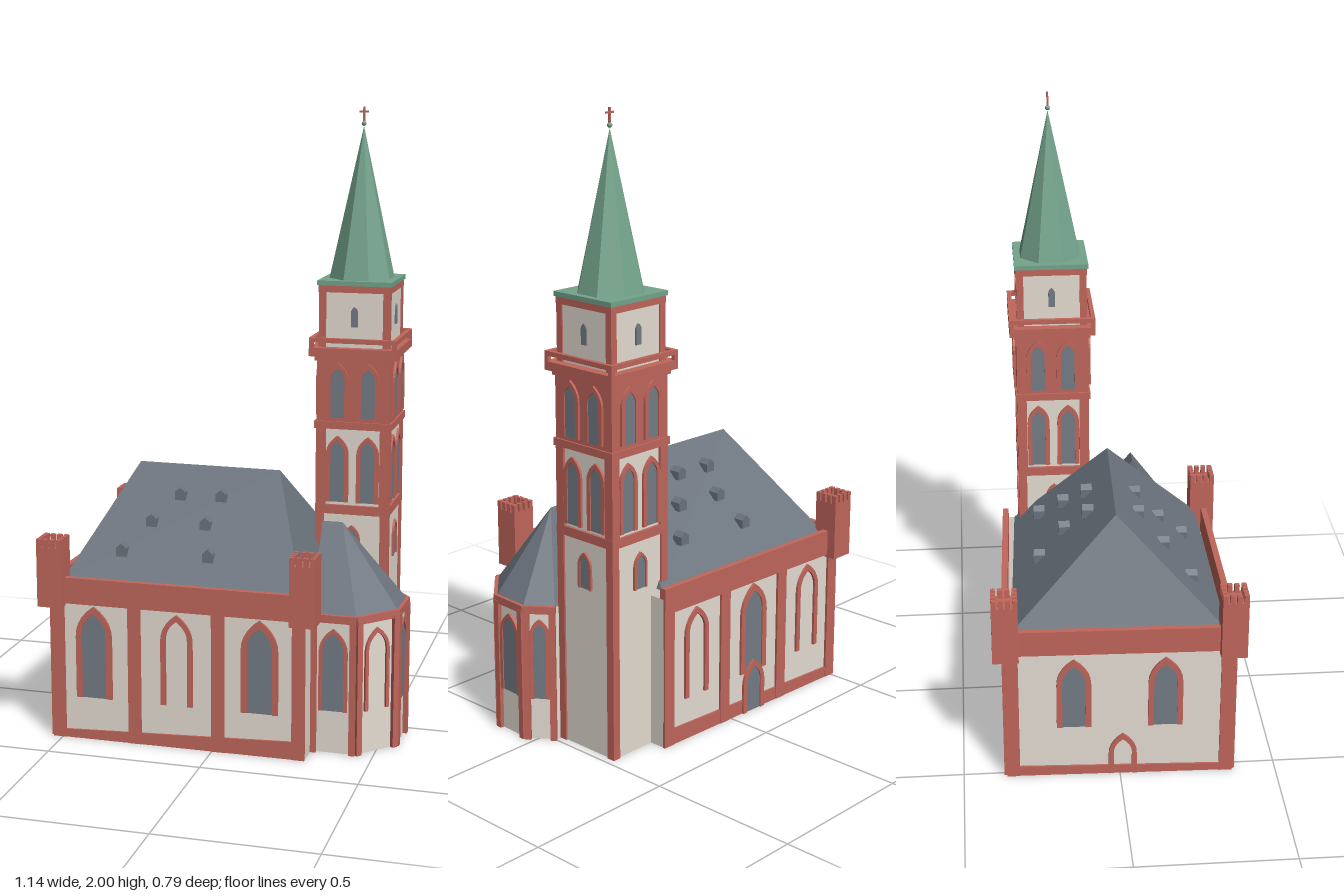
import * as THREE from 'three';

const mat = (name, color, side = THREE.FrontSide) =>
  Object.assign(new THREE.MeshStandardMaterial({ color, side }), { name });

export function createModel() {
  const root = new THREE.Group();
  root.name = 'church';
  const cream = mat('cream plaster', 0xe4dcd2, THREE.DoubleSide);
  const red = mat('red sandstone', 0xc0665b);
  const slate = mat('slate', 0x6b737d, THREE.DoubleSide);
  const glass = mat('window grey', 0x747c85);
  const green = mat('copper green', 0x74a48c);

  const add = (parent, name, geo, material, x = 0, y = 0, z = 0) => {
    const m = new THREE.Mesh(geo, material);
    m.name = name;
    m.position.set(x, y, z);
    parent.add(m);
    return m;
  };
  // box standing on y0, reaching y1
  const box = (parent, name, material, x, y0, y1, z, w, d) =>
    add(parent, name, new THREE.BoxGeometry(w, y1 - y0, d), material, x, (y0 + y1) / 2, z);
  const group = (parent, name) => {
    const g = new THREE.Group();
    g.name = name;
    parent.add(g);
    return g;
  };
  // flat faces, each a convex loop of corners
  const faces = (list) => {
    const p = [];
    for (const f of list)
      for (let i = 1; i < f.length - 1; i++) p.push(...f[0], ...f[i], ...f[i + 1]);
    const g = new THREE.BufferGeometry();
    g.setAttribute('position', new THREE.Float32BufferAttribute(p, 3));
    g.computeVertexNormals();
    return g;
  };
  // open walls around a footprint, without floor or top
  const shell = (pts, h) => faces(pts.map(([x, z], i) => {
    const [u, v] = pts[(i + 1) % pts.length];
    return [[x, 0, z], [u, 0, v], [u, h, v], [x, h, z]];
  }));
  // group with x along the wall from a to b and z pointing outward
  const wall = (parent, name, a, b) => {
    const g = group(parent, name);
    g.position.set((a[0] + b[0]) / 2, 0, (a[1] + b[1]) / 2);
    g.rotation.y = Math.atan2(a[1] - b[1], b[0] - a[0]);
    g.userData.length = Math.hypot(b[0] - a[0], b[1] - a[1]);
    return g;
  };
  const polygon = (pts) => new THREE.Shape(pts.map(p => new THREE.Vector2(...p)));
  const extrude = (shape, depth) =>
    new THREE.ExtrudeGeometry(shape, { depth, bevelEnabled: false });
  // pointed arch outline from bottom left over the tip to bottom right
  const archPoints = (w, h) => {
    const s = h - w * 0.85, r = w / 2, path = new THREE.Path();
    path.moveTo(-r, 0).lineTo(-r, s).quadraticCurveTo(-r, s + (h - s) * 0.6, 0, h)
      .quadraticCurveTo(r, s + (h - s) * 0.6, r, s).lineTo(r, 0);
    return path.getPoints(5);
  };
  // frame and pane sit just proud of the wall
  const proud = 0.0015;
  const archWindow = (parent, x, y, w, h, t, glazed = true, z = 0) => {
    const inner = archPoints(w - 2 * t, h - t * 1.3);
    const ring = [...archPoints(w, h), ...inner.slice().reverse()];
    add(parent, 'windowFrame', extrude(new THREE.Shape(ring), 0.008), red, x, y, z + proud);
    if (glazed) add(parent, 'windowPane', extrude(new THREE.Shape(inner), 0.004), glass, x, y, z + proud);
  };
  const plinth = (g, h0, h1) => {
    const r = g.userData.length / 2;
    add(g, 'plinth', extrude(polygon([[-r, 0], [r, 0], [r, h1], [-r, h0]]), 0.006), red, 0, 0, proud);
  };

  // ---- nave ----
  const nave = group(root, 'nave');
  const FL = [-0.53, 0.359], FR = [0.3, 0.358], BR = [0.305, -0.332], BL = [-0.512, -0.361];
  add(nave, 'naveWalls', shell([FL, FR, BR, BL], 0.5), cream);

  const trimWall = (name, a, b, h0, h1, pillars) => {
    const g = wall(nave, name, a, b), L = g.userData.length;
    box(g, 'eavesBand', red, 0, 0.45, 0.535, 0, L, 0.02);
    for (const x of [-L / 2 + 0.02, ...pillars, L / 2 - 0.02])
      box(g, 'pilaster', red, x, 0, 0.46, 0.0055, 0.042, 0.008);
    plinth(g, h0, h1);
    return g;
  };
  const front = trimWall('frontWall', FL, FR, 0.025, 0.06, [-0.14, 0.135]);
  archWindow(front, -0.275, 0.14, 0.12, 0.305, 0.02);
  archWindow(front, 0, 0.14, 0.105, 0.3, 0.017, false);
  archWindow(front, 0.27, 0.14, 0.12, 0.305, 0.02);

  const back = trimWall('backWall', BR, BL, 0.055, 0.035, [-0.135, 0.135]);
  archWindow(back, -0.265, 0.14, 0.105, 0.3, 0.017, false);
  archWindow(back, 0, 0.14, 0.12, 0.305, 0.02);
  archWindow(back, 0.265, 0.14, 0.105, 0.3, 0.017, false);
  archWindow(back, 0, 0, 0.1, 0.18, 0.018, true, 0.004);

  const side = trimWall('sideWall', BL, FL, 0.035, 0.025, []);
  for (const x of [-0.145, 0.145]) archWindow(side, x, 0.18, 0.11, 0.25, 0.018);
  archWindow(side, 0.01, 0, 0.09, 0.15, 0.016, false);

  // hipped roof
  const e = 0.515;
  const r1 = [-0.505, e, 0.33], r2 = [0.28, e, 0.33], r3 = [0.28, e, -0.303], r4 = [-0.485, e, -0.337];
  const k1 = [-0.347, 0.842, 0], k2 = [0.13, 0.842, 0.01];
  add(nave, 'naveRoof', faces([[r1, r2, k2, k1], [r2, r3, k2], [r3, r4, k1, k2], [r4, r1, k1]]), slate);

  // little gabled roof dormers
  const dormerGeo = extrude(polygon([[-0.018, -0.012], [0.018, -0.012], [0.018, 0.016], [0, 0.03], [-0.018, 0.016]]), 0.037)
    .translate(0, 0, -0.0185);
  const dormers = [[-0.18, 0.085], [-0.043, 0.085], [-0.255, 0.16], [-0.075, 0.16], [-0.33, 0.242], [-0.043, 0.242],
    [-0.175, -0.235], [0.107, -0.223], [-0.143, -0.152], [0.033, -0.146], [-0.175, -0.077], [-0.04, -0.073]];
  for (const [x, z] of dormers) {
    const d = add(nave, 'dormer', dormerGeo, slate, x, 0.84 - Math.abs(z), z);
    if (z < 0) d.rotation.y = Math.PI;
  }

  // battlemented corner turrets
  for (const [x, z] of [[-0.527, 0.353], [0.296, 0.351], [-0.504, -0.358]]) {
    const t = group(nave, 'cornerTurret');
    t.position.set(x, 0, z);
    box(t, 'turretBody', red, 0, 0.44, 0.635, 0, 0.082, 0.082);
    for (let i = 0; i < 4; i++)
      for (let j = 0; j < 4; j++)
        if (i % 3 === 0 || j % 3 === 0)
          box(t, 'merlon', red, -0.0335 + i * 0.02233, 0.635, 0.662, -0.0335 + j * 0.02233, 0.015, 0.015);
  }

  // ---- apse ----
  const apse = group(root, 'apse');
  const ring = [[0.3, 0.275], [0.442, 0.275], [0.549, 0.162], [0.555, 0.033], [0.495, -0.045], [0.3, -0.045]];
  add(apse, 'apseWalls', shell(ring, 0.45), cream);
  ring.slice(0, 4).forEach((a, i) => {
    const g = wall(apse, 'apseSide', a, ring[i + 1]), L = g.userData.length;
    box(g, 'apseBand', red, 0, 0.43, 0.455, 0.002, L + 0.006, 0.02);
    for (const s of [-1, 1])
      box(g, 'apsePilaster', red, s * (L / 2 - 0.008), 0, 0.44, 0.005, 0.02, 0.018);
    archWindow(g, 0, 0.14, Math.min(0.092, L - 0.036), 0.27, 0.012, i !== 1);
  });
  const ap = [0.36, 0.71, 0.11], ridge = [0.295, 0.71, 0.11];
  const eave = ring.map(([x, z]) => [x, 0.455, z]);
  add(apse, 'apseRoof', faces([
    [eave[0], eave[1], ap, ridge],
    ...[1, 2, 3].map(i => [eave[i], eave[i + 1], ap]),
    [eave[4], eave[5], ridge, ap],
    [eave[5], eave[0], ridge],
  ]), slate);

  // ---- tower ----
  const tower = group(root, 'tower');
  tower.position.set(0.357, 0, -0.164);
  const square = (name, m, y0, y1, half) => box(tower, name, m, 0, y0, y1, 0, half * 2, half * 2);
  const b = 0.115;
  add(tower, 'towerBase', shell([[-b, b], [b, b], [b, -b], [-b, -b]], 0.71), cream);
  square('towerMiddle', cream, 0.71, 0.99, 0.113);
  square('towerUpper', red, 0.99, 1.22, 0.12);
  square('lowerCornice', red, 0.695, 0.725, 0.122);
  square('middleCornice', red, 0.978, 1.002, 0.126);
  square('galleryCorbel', red, 1.2, 1.215, 0.127);
  square('galleryFloor', red, 1.215, 1.243, 0.142);
  square('belfry', cream, 1.24, 1.44, 0.111);
  square('belfryBand', red, 1.42, 1.442, 0.117);

  for (let i = 0; i < 4; i++) {
    const g = group(tower, 'towerSide');
    g.rotation.y = i * Math.PI / 2;
    // corner strips shared by neighbouring sides
    box(g, 'baseCorner', red, 0.107, 0, 0.7, 0.107, 0.028, 0.028);
    box(g, 'middleCorner', red, 0.105, 0.72, 0.98, 0.105, 0.032, 0.032);
    box(g, 'belfryCorner', red, 0.104, 1.24, 1.43, 0.104, 0.023, 0.023);
    archWindow(g, 0, 0.54, 0.056, 0.12, 0.008, true, 0.115);
    for (const x of [-0.05, 0.05]) {
      archWindow(g, x, 0.735, 0.074, 0.22, 0.014, true, 0.113);
      archWindow(g, x, 1.015, 0.074, 0.18, 0.014, true, 0.12);
    }
    add(g, 'belfrySlit', extrude(new THREE.Shape(archPoints(0.022, 0.065)), 0.005), glass, 0, 1.31, 0.111);
    // gallery railing
    box(g, 'galleryRail', red, 0, 1.26, 1.275, 0.135, 0.284, 0.014);
    box(g, 'railPost', red, 0.135, 1.24, 1.262, 0.135, 0.014, 0.014);
  }

  // spire
  square('spireEaves', green, 1.442, 1.457, 0.121);
  const cone = new THREE.ConeGeometry(0.107, 0.485, 8, 1).toNonIndexed();
  cone.rotateY(Math.PI / 8).computeVertexNormals();
  add(tower, 'spire', cone, green, 0, 1.6975, 0);
  add(tower, 'finialBall', new THREE.SphereGeometry(0.008, 10, 8), green, 0, 1.948, 0);
  box(tower, 'crossUpright', red, 0, 1.95, 2, 0, 0.006, 0.006);
  box(tower, 'crossArm', red, 0, 1.982, 1.988, 0, 0.03, 0.006);
  return root;
}
